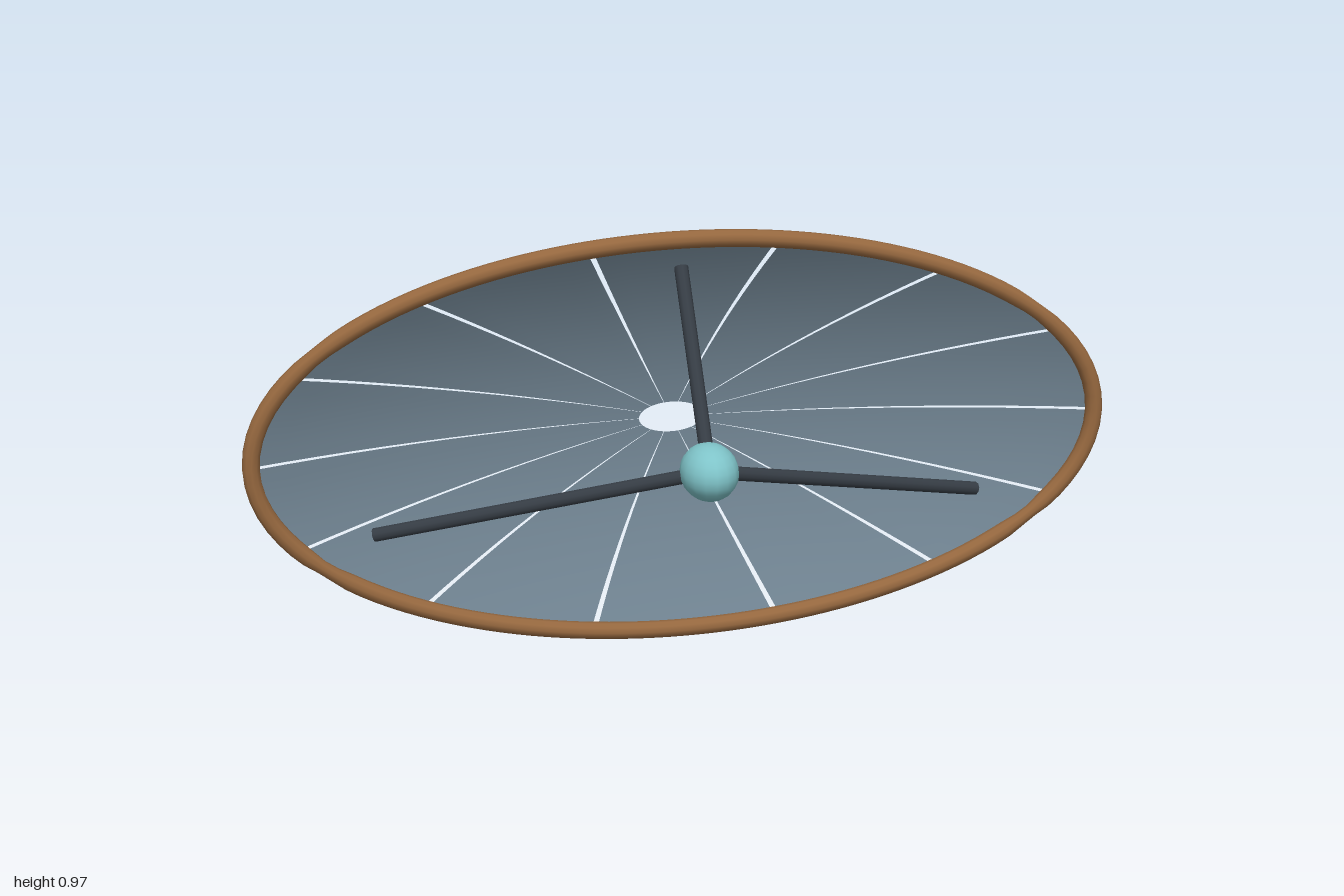
import * as THREE from 'three';

const CY = 0.487, RX = 0.98, RY = 0.465;   // centre height and half axes of the dish
const PANELS = 14, GAP = 0.014, HOLE = 0.078;

// Point on the curved bowl: s runs from centre (0) to rim (1), t is the angle
const bowl = (s, t) => new THREE.Vector3(
  RX * s * Math.cos(t), CY + RY * s * Math.sin(t), -0.24 + 0.16 * s * s);

function material(name, color, side = THREE.FrontSide) {
  const m = new THREE.MeshStandardMaterial({ color, side });
  m.name = name;
  return m;
}

// One curved wedge of the dish
function panelGeometry(index) {
  const step = (Math.PI * 2) / PANELS;
  const geo = new THREE.PlaneGeometry(1, 1, 6, 12);
  const p = geo.attributes.position;
  for (let i = 0; i < p.count; i++) {
    const s = HOLE + (p.getY(i) + 0.5) * (1 - HOLE);
    const t = (index + 0.5) * step - p.getX(i) * (step - GAP);
    const v = bowl(s, t);
    p.setXYZ(i, v.x, v.y, v.z);
  }
  geo.computeVertexNormals();
  return geo;
}

// Rim tube, slightly pinched at four places
function rimGeometry() {
  const N = 128, SIDES = 10;
  const pts = [];
  for (let i = 0; i < 64; i++) pts.push(bowl(1, (i / 64) * Math.PI * 2));
  const curve = new THREE.CatmullRomCurve3(pts, true);
  const geo = new THREE.TubeGeometry(curve, N, 0.02, SIDES, true);
  const p = geo.attributes.position, v = new THREE.Vector3();
  for (let i = 0; i < p.count; i++) {
    const c = curve.getPointAt((Math.floor(i / (SIDES + 1)) % N) / N);
    const h = (c.y - CY) / RY;
    const a = Math.asin(Math.min(1, Math.abs(h)));
    const pinch = (h < 0 ? 0.25 : 0.12) * Math.exp(-(((a - 0.57) / 0.06) ** 2));
    v.fromBufferAttribute(p, i).lerp(c, pinch);
    p.setXYZ(i, v.x, v.y, v.z);
  }
  return geo;
}

// Round bar between two points
function bar(a, b, radius, mat) {
  const dir = b.clone().sub(a);
  const mesh = new THREE.Mesh(new THREE.CylinderGeometry(radius, radius, dir.length(), 10), mat);
  mesh.position.copy(a).add(b).multiplyScalar(0.5);
  mesh.quaternion.setFromUnitVectors(new THREE.Vector3(0, 1, 0), dir.normalize());
  return mesh;
}

export function createModel() {
  const model = new THREE.Group();
  model.name = 'dishAntenna';
  const slate = material('slatePanel', 0x6f8290, THREE.DoubleSide);
  const bronze = material('bronzeRim', 0x96683f);
  const dark = material('darkStrut', 0x363d45);
  const aqua = material('aquaFeed', 0x7fc4c9);

  // Dish of separate wedges around an open centre
  const dish = new THREE.Group();
  dish.name = 'dish';
  for (let i = 0; i < PANELS; i++) {
    const panel = new THREE.Mesh(panelGeometry(i), slate);
    panel.name = 'dishPanel' + (i + 1);
    dish.add(panel);
  }
  model.add(dish);

  const rim = new THREE.Mesh(rimGeometry(), bronze);
  rim.name = 'rim';
  model.add(rim);

  // Feed held in front of the dish
  const focus = new THREE.Vector3(0, CY, 0.157);
  const feed = new THREE.Mesh(new THREE.SphereGeometry(1, 16, 12), aqua);
  feed.name = 'feed';
  feed.scale.set(0.065, 0.064, 0.081);
  feed.position.copy(focus);
  model.add(feed);

  // Three struts from the feed to the bowl
  [90, 210, 330].forEach((deg, i) => {
    const strut = bar(focus, bowl(0.837, THREE.MathUtils.degToRad(deg)), 0.016, dark);
    strut.name = 'strut' + (i + 1);
    model.add(strut);
  });

  return model;
}
